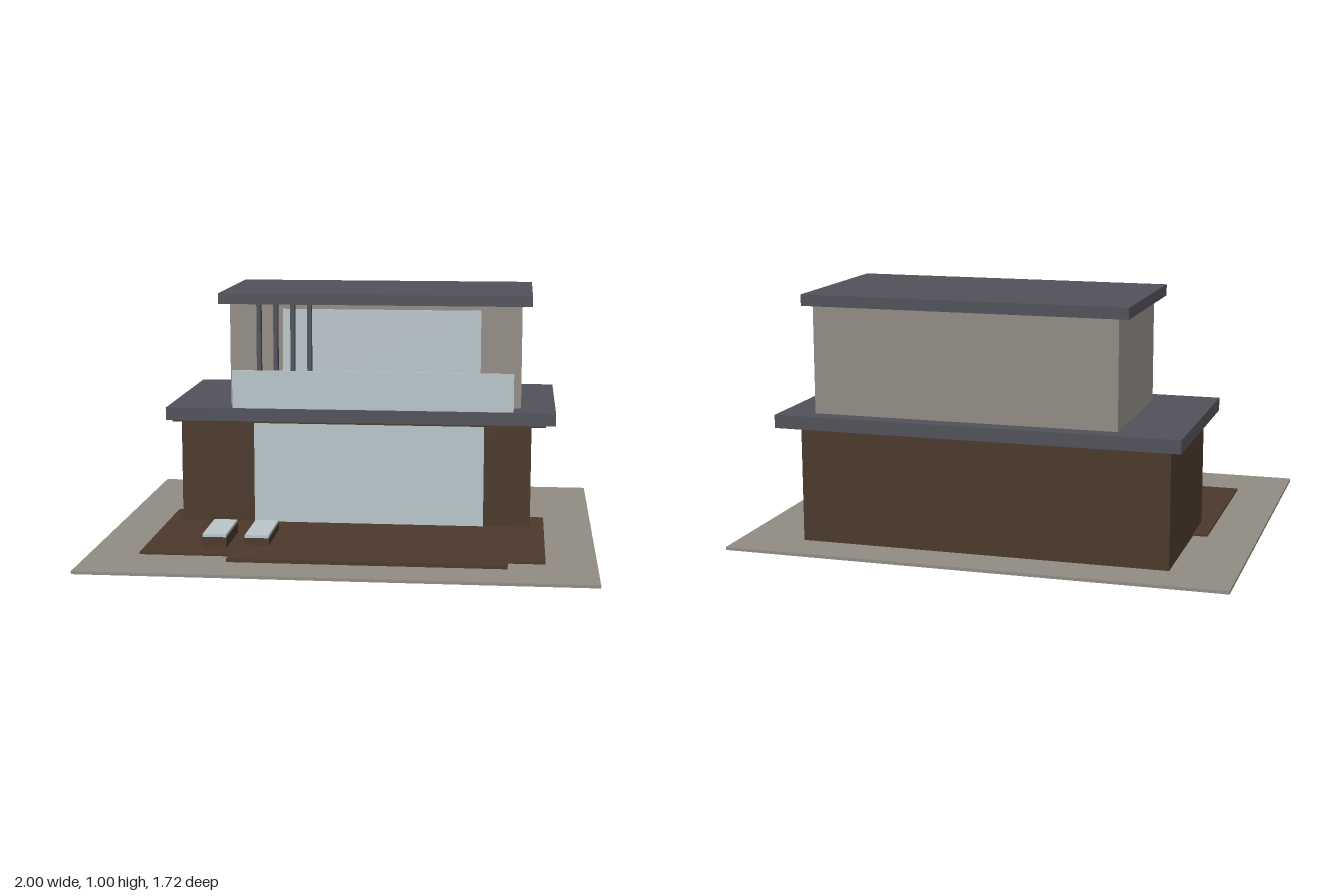
import * as THREE from 'three';

const mat = (name, color) => {
  const m = new THREE.MeshStandardMaterial({ color });
  m.name = name;
  return m;
};

export function createModel() {
  const house = new THREE.Group();
  house.name = 'house';
  const stone = mat('taupe stone', 0x928c84);
  const wood = mat('dark brown wood', 0x4b392b);
  const slate = mat('slate grey', 0x51525a);
  const glass = mat('pale blue glass', 0xb9c6cb);

  // Box given by its extents along each axis
  const box = (name, material, [x0, x1], [y0, y1], [z0, z1], parent = house) => {
    const mesh = new THREE.Mesh(new THREE.BoxGeometry(x1 - x0, y1 - y0, z1 - z0), material);
    mesh.position.set((x0 + x1) / 2, (y0 + y1) / 2, (z0 + z1) / 2);
    mesh.name = name;
    parent.add(mesh);
    return mesh;
  };

  // Site: plot, deck and raised terrace
  box('plot', stone, [-1, 1], [0, 0.012], [-0.86, 0.86]);
  box('deck', wood, [-0.8, 0.8], [0.012, 0.02], [-0.19, 0.58]);
  box('terrace', wood, [-0.43, 0.655], [0.02, 0.034], [0.21, 0.697]);

  // Ground floor
  box('lowerWalls', wood, [-0.742, 0.742], [0.012, 0.472], [-0.682, 0]);
  box('lowerWindow', glass, [-0.43, 0.545], [0.02, 0.467], [0, 0.004]);
  box('soffit', wood, [-0.76, 0.8], [0.465, 0.472], [-0.11, 0.108]);
  box('floorSlab', slate, [-0.786, 0.84], [0.472, 0.525], [-0.715, 0.112]);

  // Upper floor
  box('upperWalls', stone, [-0.53, 0.697], [0.525, 0.955], [-0.642, -0.014]);
  box('upperWindow', glass, [-0.305, 0.527], [0.525, 0.933], [-0.014, -0.01]);
  box('roof', slate, [-0.572, 0.738], [0.955, 1], [-0.663, 0.033]);
  box('balconyRailing', glass, [-0.505, 0.667], [0.525, 0.685], [0.09, 0.097]);

  // Vertical sun slats
  for (const x of [-0.404, -0.333, -0.261, -0.19])
    box('slat', slate, [x - 0.009, x + 0.009], [0.525, 0.955], [-0.014, 0.018]);

  // Sun loungers
  for (const x of [-0.518, -0.346]) {
    const lounger = new THREE.Group();
    lounger.name = 'lounger';
    box('loungerBase', wood, [x - 0.05, x + 0.05], [0.02, 0.063], [0.207, 0.478], lounger);
    box('loungerCushion', glass, [x - 0.048, x + 0.048], [0.063, 0.074], [0.209, 0.476], lounger);
    house.add(lounger);
  }
  return house;
}
